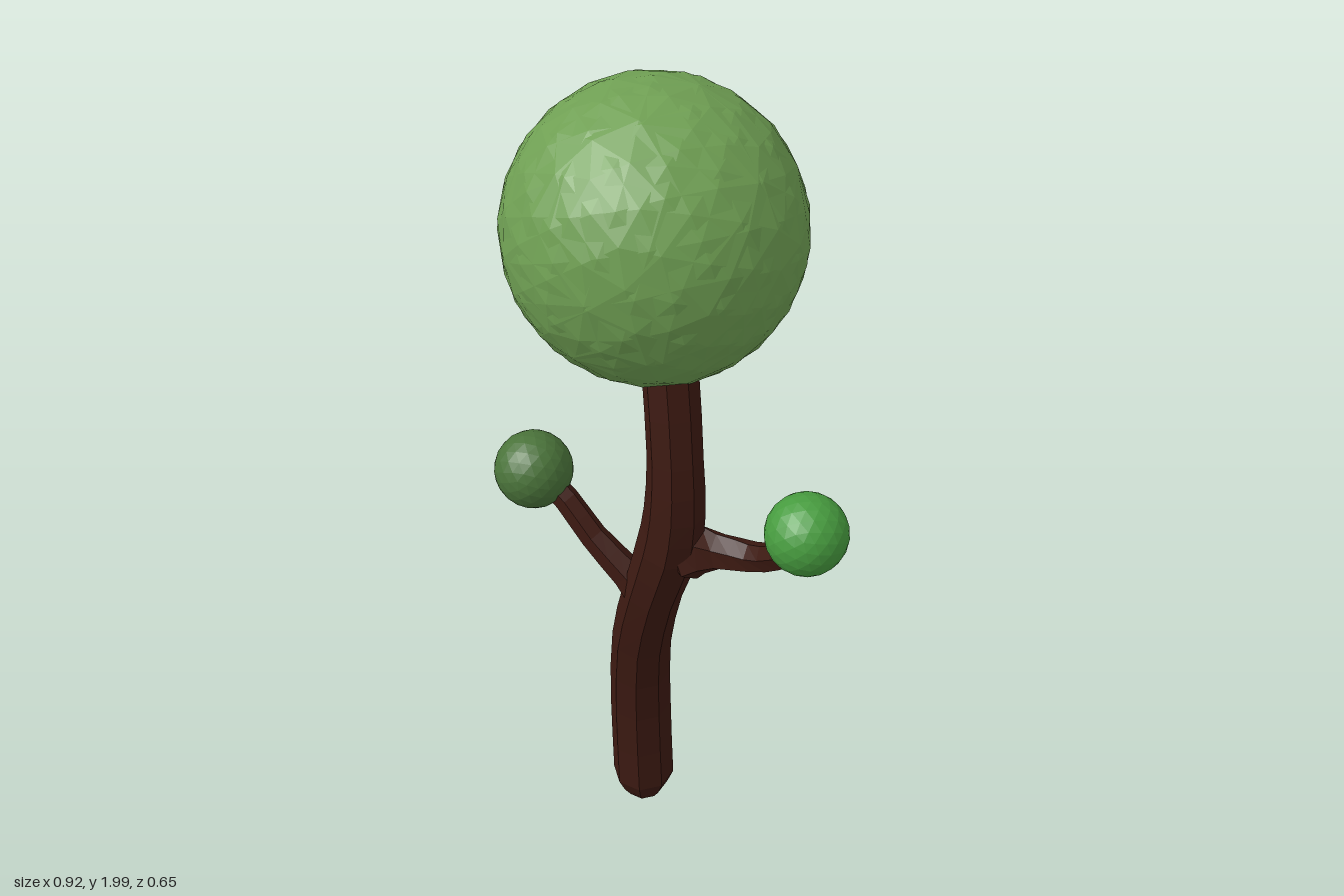
import * as THREE from 'three';

const material = (color) => new THREE.MeshStandardMaterial({ color, flatShading: true });

// Faceted limb through [x, y, z, radius] stations, closed where the radius is 0
function limb(name, stations, sides, mat, steps = 2) {
  const curve = new THREE.CatmullRomCurve3(stations.map(([x, y, z]) => new THREE.Vector3(x, y, z)));
  const spans = stations.length - 1;
  const rings = spans * steps;
  const up = new THREE.Vector3(0, 1, 0);
  const positions = [], index = [];
  for (let i = 0; i <= rings; i++) {
    const t = i / rings;
    const k = Math.min(Math.floor(i / steps), spans - 1);
    const radius = THREE.MathUtils.lerp(stations[k][3], stations[k + 1][3], i / steps - k);
    const centre = curve.getPoint(t);
    const turn = new THREE.Quaternion().setFromUnitVectors(up, curve.getTangent(t));
    for (let j = 0; j < sides; j++) {
      const a = ((j + 0.5) / sides) * Math.PI * 2;
      const p = new THREE.Vector3(Math.sin(a) * radius, 0, Math.cos(a) * radius);
      positions.push(...p.applyQuaternion(turn).add(centre).toArray());
      if (i < rings) {
        const b = i * sides + j, c = i * sides + ((j + 1) % sides);
        index.push(b, c, c + sides, b, c + sides, b + sides);
      }
    }
  }
  const geometry = new THREE.BufferGeometry();
  geometry.setAttribute('position', new THREE.Float32BufferAttribute(positions, 3));
  geometry.setIndex(index);
  geometry.computeVertexNormals();
  const mesh = new THREE.Mesh(geometry, mat);
  mesh.name = name;
  return mesh;
}

// Faceted ball of leaves
function foliage(name, radius, detail, position, rotation, mat) {
  const mesh = new THREE.Mesh(new THREE.IcosahedronGeometry(radius, detail), mat);
  mesh.name = name;
  mesh.position.set(...position);
  mesh.rotation.set(...rotation);
  return mesh;
}

export function createModel() {
  const tree = new THREE.Group();
  tree.name = 'tree';
  const bark = material(0x3d1a12);

  // Curved trunk with a rounded foot, swelling where the branches leave
  tree.add(limb('trunk', [
    [-0.14, 0.01, 0.04, 0],
    [-0.14, 0.015, 0.04, 0.045],
    [-0.14, 0.085, 0.04, 0.08],
    [-0.138, 0.35, 0.048, 0.078],
    [-0.11, 0.6, 0.08, 0.073],
    [-0.053, 0.8, 0.115, 0.07],
    [-0.005, 0.95, 0.122, 0.075],
    [0.012, 1.06, 0.122, 0.07],
    [0.012, 1.2, 0.118, 0.063],
    [-0.01, 1.41, 0.098, 0.062],
    [-0.02, 1.47, 0.09, 0],
  ], 8, bark));

  // Side branches, flared at the trunk
  tree.add(limb('rightBranch', [
    [-0.04, 0.74, 0.11, 0],
    [-0.065, 0.77, 0.113, 0.055],
    [-0.12, 0.825, 0.118, 0.04],
    [-0.21, 0.905, 0.122, 0.033],
    [-0.28, 0.985, 0.121, 0.031],
    [-0.34, 1.03, 0.12, 0.03],
    [-0.36, 1.04, 0.12, 0],
  ], 6, bark));
  tree.add(limb('leftBranch', [
    [-0.02, 0.91, 0.115, 0],
    [0.035, 0.945, 0.105, 0.075],
    [0.11, 0.96, 0.092, 0.045],
    [0.2, 0.98, 0.095, 0.036],
    [0.28, 1.035, 0.125, 0.032],
    [0.345, 1.105, 0.165, 0.028],
    [0.365, 1.15, 0.185, 0],
  ], 6, bark));

  // Main crown: two nearly coincident balls whose facets interlock irregularly
  const crown = new THREE.Group();
  crown.name = 'crown';
  const leaf = material(0x6f9f53);
  crown.add(foliage('crownBall', 0.328, 3, [-0.1, 1.67, 0], [0.2, 0.4, 0.1], leaf));
  crown.add(foliage('crownFacets', 0.328, 3, [-0.1, 1.67, 0], [0.9, 1.3, 0.5], leaf));
  tree.add(crown);

  // Small leaf balls at the branch tips
  tree.add(foliage('rightLeafBall', 0.093, 3, [-0.368, 1.043, 0.122], [0.3, 0.2, 0], material(0x4a733a)));
  tree.add(foliage('leftLeafBall', 0.09, 3, [0.368, 1.173, 0.19], [0.1, 0.5, 0.2], material(0x479c3f)));
  return tree;
}
